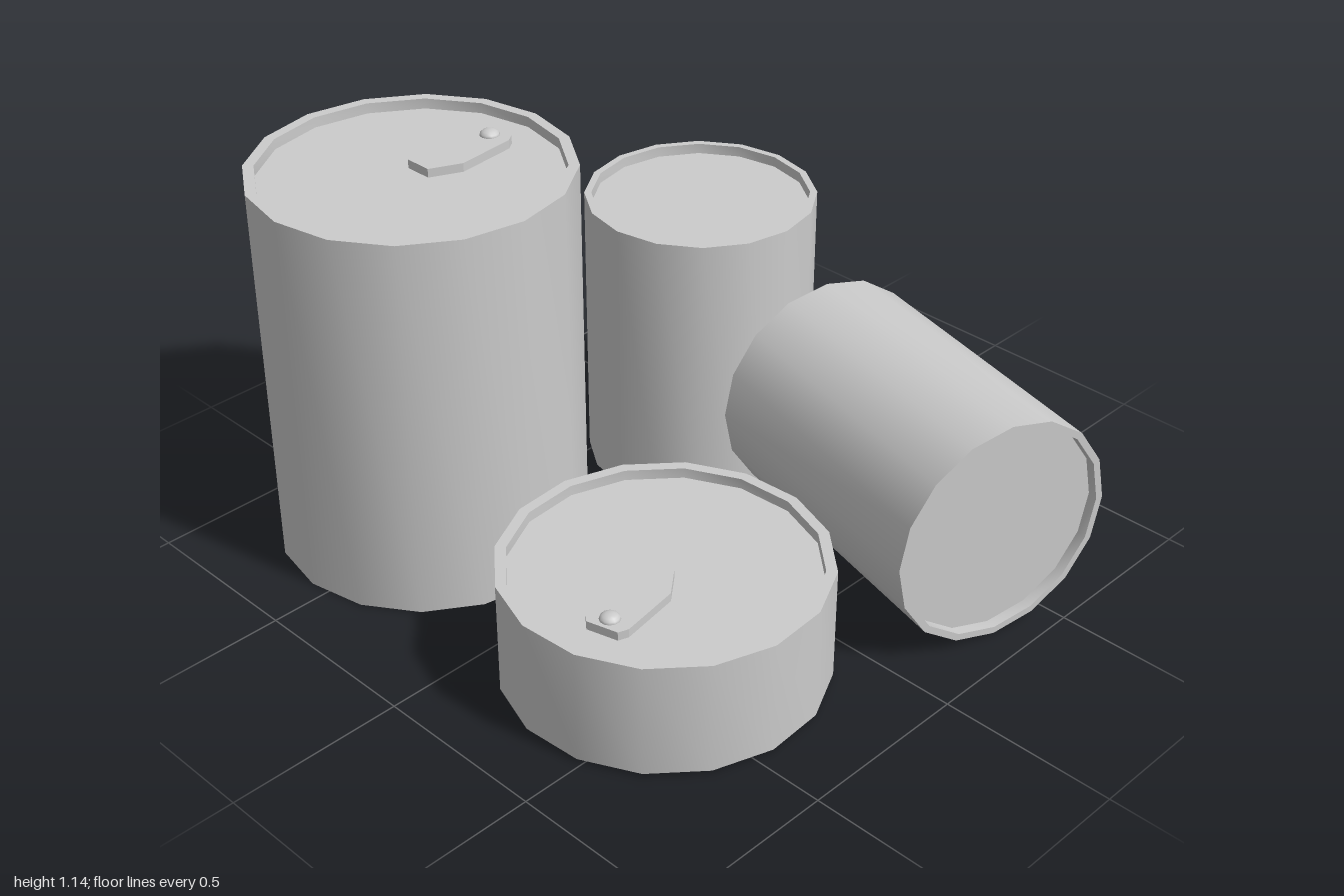
import * as THREE from 'three';
import { toCreasedNormals } from 'three/addons/utils/BufferGeometryUtils.js';

const SIDES = 16;
const material = new THREE.MeshStandardMaterial({ color: 0xcccccc });

function part(name, geometry) {
  const mesh = new THREE.Mesh(geometry, material);
  mesh.name = name;
  return mesh;
}

// Closed tin standing on its base, with a rim around a sunken lid
function makeCan(name, radius, height, rim, depth) {
  const can = new THREE.Group();
  can.name = name;
  const profile = [
    [0, 0], [radius, 0], [radius, height],
    [radius - rim, height], [radius - rim, height - depth], [0, height - depth],
  ].map(([x, y]) => new THREE.Vector2(x, y));
  can.add(part('canBody', toCreasedNormals(new THREE.LatheGeometry(profile, SIDES), 0.6)));
  return can;
}

// Flat pull tab with a rivet, lying on the lid and pointing to -z
function makePullTab(lidY) {
  const tab = new THREE.Group();
  tab.name = 'pullTab';
  const half = [[0.04, 0.022], [0.08, 0.11], [0.062, 0.285], [0.045, 0.31]];
  const outline = [...half, ...half.map(([x, y]) => [-x, y]).reverse()];
  const shape = new THREE.Shape(outline.map(([x, y]) => new THREE.Vector2(x, y)));
  const plate = new THREE.ExtrudeGeometry(shape, { depth: 0.025, bevelEnabled: false });
  plate.rotateX(-Math.PI / 2);
  const rivet = part('rivet', new THREE.SphereGeometry(0.028, 12, 8));
  rivet.scale.y = 0.6;
  rivet.position.set(0, 0.025, -0.272);
  tab.add(part('tabPlate', plate), rivet);
  tab.position.y = lidY;
  return tab;
}

export function createModel() {
  const model = new THREE.Group();
  model.name = 'tinCans';

  // Tall can
  const tall = makeCan('tallCan', 0.44, 1.125, 0.03, 0.03);
  tall.add(makePullTab(1.095));
  tall.position.set(-0.56, 0, 0.39);

  // Short can, turned around
  const short = makeCan('shortCan', 0.44, 0.33, 0.03, 0.03);
  short.add(makePullTab(0.3));
  short.position.set(0.37, 0.008, 0.39);
  short.rotation.y = THREE.MathUtils.degToRad(195);

  // Medium can, upright
  const medium = makeCan('mediumCan', 0.328, 0.84, 0.02, 0.03);
  medium.position.set(-0.283, 0.013, -0.412);

  // Medium can lying on its side
  const lying = makeCan('lyingCan', 0.328, 0.84, 0.02, 0.03);
  lying.position.set(0.1, 0.336, -0.523);
  lying.rotation.set(0, THREE.MathUtils.degToRad(-15), -Math.PI / 2);

  model.add(tall, short, medium, lying);
  return model;
}
